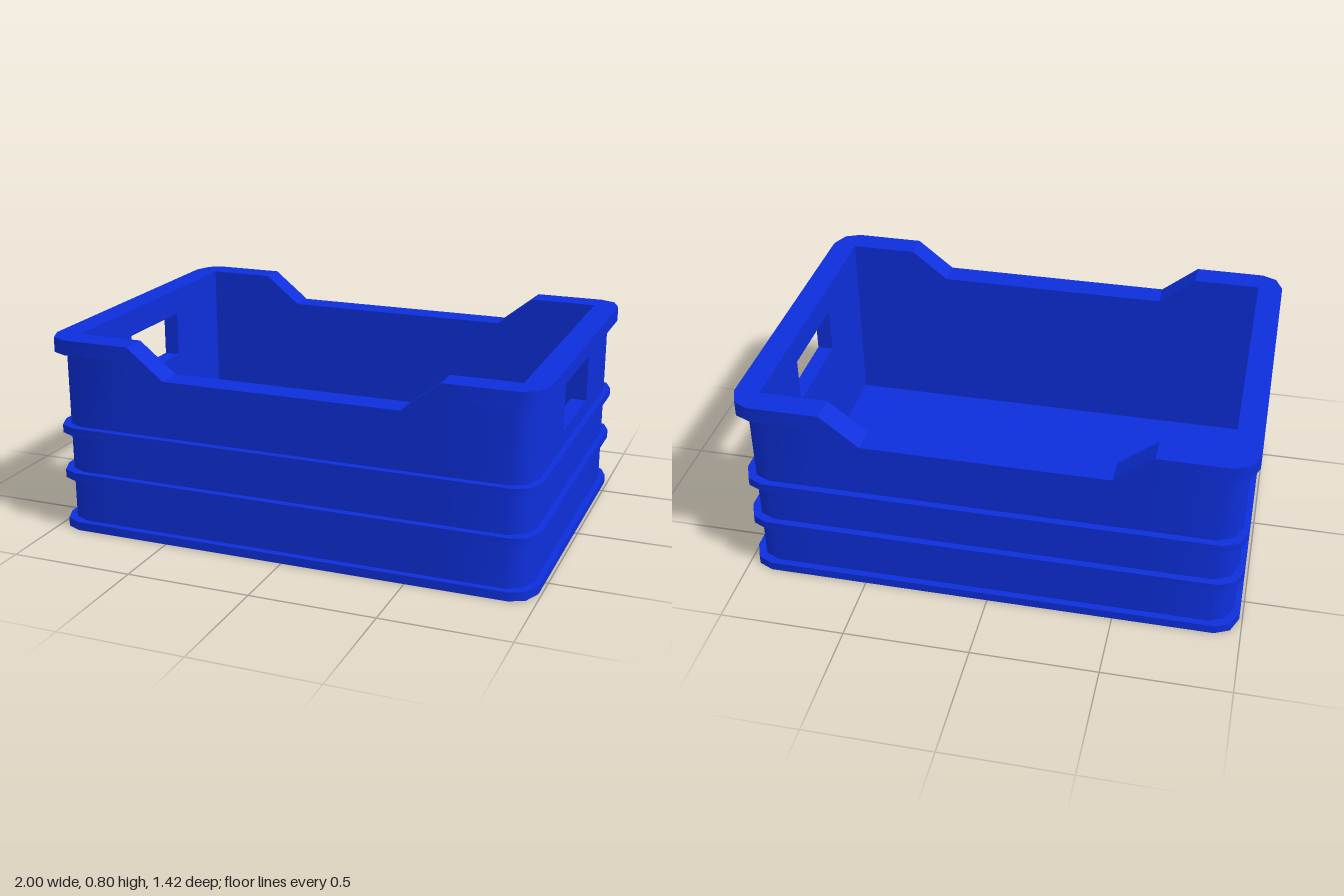
import * as THREE from 'three';
import { mergeGeometries, toCreasedNormals } from 'three/addons/utils/BufferGeometryUtils.js';

const INNER = { x: 0.9, z: 0.6 };
const BODY = { x: 0.965, z: 0.675 };
const GRIP = { z: 0.205, low: 0.5, high: 0.69 };

// Corner points [x, z] of a rounded rectangle, from the front face to the +x side
const corner = ({ x, z }) => [[x - 0.09, z], [x - 0.03, z - 0.028], [x, z - 0.1]];

// Half a turn of points around the crate, then the same turned by 180 degrees
function loop(size, corners = corner(size)) {
  const half = [
    ...[-0.63, -0.48, 0.48, 0.63].map((x) => [x, size.z]),
    ...corners,
    [size.x, GRIP.z], [size.x, -GRIP.z],
    ...corners.map(([x, z]) => [x, -z]).reverse(),
  ];
  return [...half, ...half.map(([x, z]) => [-x, -z])];
}
const sharpLoop = loop(INNER, Array(3).fill([INNER.x, INNER.z]));

function toGeometry(positions) {
  const g = new THREE.BufferGeometry();
  g.setAttribute('position', new THREE.Float32BufferAttribute(positions, 3));
  g.computeVertexNormals();
  return g;
}

// Closed ring between two loops; bottom and top are heights as functions of x
function ringGeometry(outer, inner, bottom, top, withGrips = false) {
  const sides = [], caps = [];
  const quad = (list, a, b, c, d) => list.push(...a, ...b, ...c, ...a, ...c, ...d);
  const at = ([x, z], y) => [x, y, z];

  outer.forEach((oa, i) => {
    const j = (i + 1) % outer.length;
    const ob = outer[j], ia = inner[i], ib = inner[j];
    const piece = (a0, b0, a1, b1) => {
      quad(sides, at(oa, a0), at(ob, b0), at(ob, b1), at(oa, a1));
      if (ia[0] !== ib[0] || ia[1] !== ib[1])
        quad(sides, at(ib, b0), at(ia, a0), at(ia, a1), at(ib, b1));
      quad(caps, at(oa, a1), at(ob, b1), at(ib, b1), at(ia, a1));
      quad(caps, at(ia, a0), at(ib, b0), at(ob, b0), at(oa, a0));
    };
    const a0 = bottom(oa[0]), b0 = bottom(ob[0]), a1 = top(oa[0]), b1 = top(ob[0]);
    const isGrip = withGrips && Math.abs(oa[1]) === GRIP.z && Math.abs(ob[1]) === GRIP.z;
    if (isGrip) {
      // Wall below and above the hand hole, and the hole's two upright faces
      const { low, high } = GRIP;
      piece(a0, b0, low, low);
      piece(high, high, a1, b1);
      quad(caps, at(oa, low), at(ia, low), at(ia, high), at(oa, high));
      quad(caps, at(ib, low), at(ob, low), at(ob, high), at(ib, high));
    } else piece(a0, b0, a1, b1);
  });
  // Smooth round the corners, flat on the caps
  return mergeGeometries([toCreasedNormals(toGeometry(sides), 0.9), toGeometry(caps)]);
}

export function createModel() {
  const crate = new THREE.Group();
  crate.name = 'crate';
  const blue = new THREE.MeshStandardMaterial({ color: 0x0d2fdc });
  blue.name = 'blue plastic';

  const add = (name, geometry) => {
    const mesh = new THREE.Mesh(geometry, blue);
    mesh.name = name;
    crate.add(mesh);
    return mesh;
  };
  const level = (y) => () => y;
  // Height that drops in the middle of the front and back
  const dipped = (high, low) => (x) => (Math.abs(x) < 0.5 ? low : high);

  const bodyLoop = loop(BODY);
  const rimBottom = dipped(0.74, 0.63);

  // Walls with a hand hole at each end
  add('walls', ringGeometry(bodyLoop, sharpLoop, level(0), rimBottom, true));

  // Thick rim following the dips
  add('rim', ringGeometry(loop({ x: 1, z: 0.708 }), sharpLoop, rimBottom, dipped(0.8, 0.68)));

  // Raised bands around the outside
  const bandLoop = loop({ x: 0.988, z: 0.703 });
  [['baseBand', 0, 0.035], ['lowerBand', 0.213, 0.247], ['upperBand', 0.405, 0.438]]
    .forEach(([name, y0, y1]) => add(name, ringGeometry(bandLoop, bodyLoop, level(y0), level(y1))));

  // Floor
  add('floor', new THREE.BoxGeometry(INNER.x * 2, 0.05, INNER.z * 2)).position.y = 0.025;

  return crate;
}
